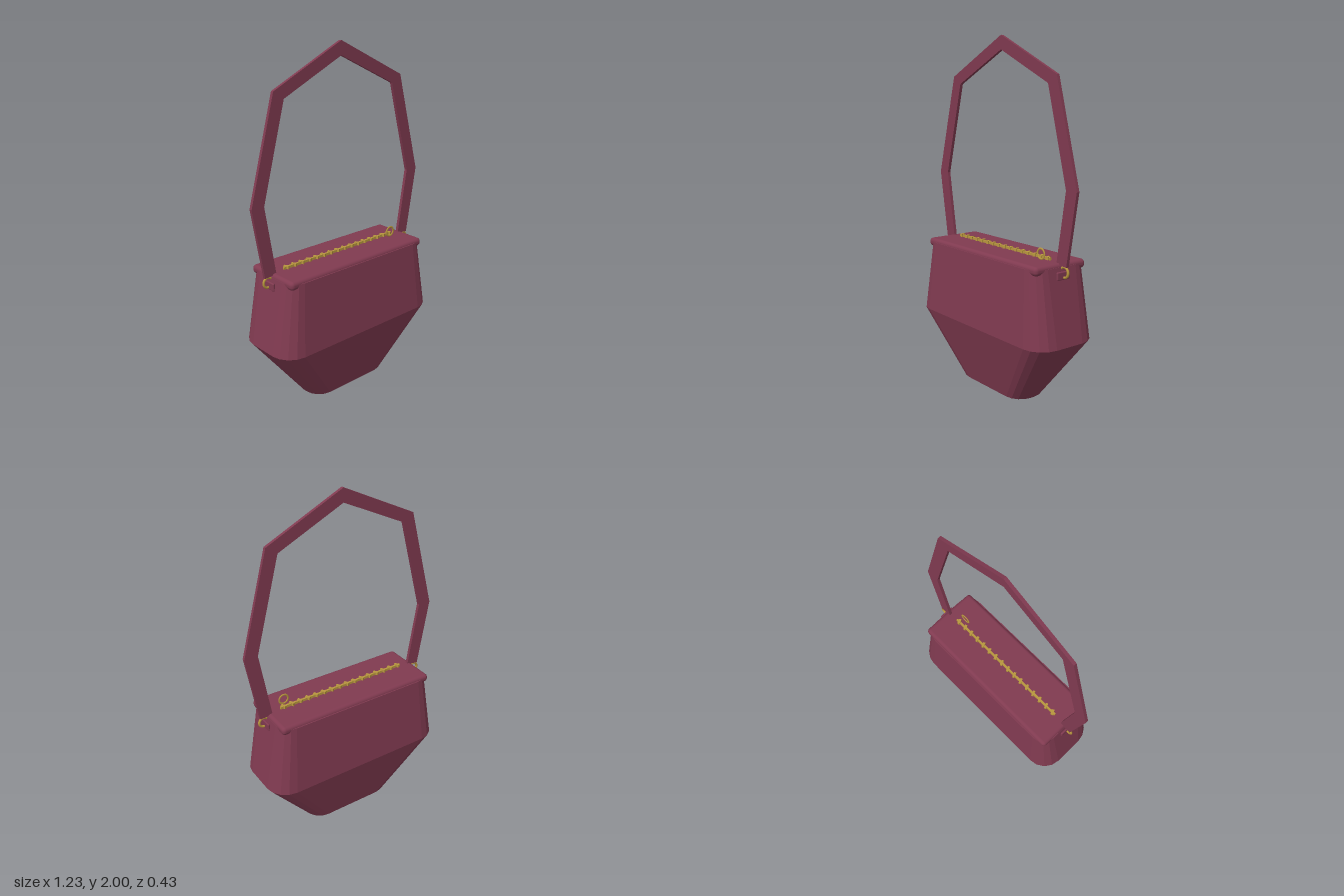
import * as THREE from 'three';
import { RoundedBoxGeometry } from 'three/addons/geometries/RoundedBoxGeometry.js';

// Corner points of a rounded rectangle at height y
function section(y, halfX, halfZ, r, steps = 4) {
  const pts = [];
  const corners = [[1, 1], [-1, 1], [-1, -1], [1, -1]];
  corners.forEach(([sx, sz], q) => {
    for (let i = 0; i <= steps; i++) {
      const a = (q + i / steps) * Math.PI / 2;
      pts.push([sx * (halfX - r) + r * Math.cos(a), y, sz * (halfZ - r) + r * Math.sin(a)]);
    }
  });
  return pts;
}

// Faceted skin through the sections, capped at both ends
function loft(sections) {
  const pos = [];
  const tri = (a, b, c) => pos.push(...a, ...b, ...c);
  const n = sections[0].length;
  for (let s = 0; s < sections.length - 1; s++) {
    const lo = sections[s], hi = sections[s + 1];
    for (let i = 0; i < n; i++) {
      const j = (i + 1) % n;
      tri(lo[i], hi[i], hi[j]);
      tri(lo[i], hi[j], lo[j]);
    }
  }
  const bottom = sections[0], top = sections[sections.length - 1];
  for (let i = 1; i < n - 1; i++) {
    tri(bottom[0], bottom[i], bottom[i + 1]);
    tri(top[0], top[i + 1], top[i]);
  }
  const geo = new THREE.BufferGeometry();
  geo.setAttribute('position', new THREE.Float32BufferAttribute(pos, 3));
  geo.computeVertexNormals();
  return geo;
}

export function createModel() {
  const leather = new THREE.MeshStandardMaterial({ color: 0x803a50 });
  leather.name = 'burgundy leather';
  const brass = new THREE.MeshStandardMaterial({ color: 0xb8963e });
  brass.name = 'brass';

  const bag = new THREE.Group();
  bag.name = 'handbag';
  const add = (name, geo, mat, x = 0, y = 0, z = 0, parent = bag) => {
    const mesh = new THREE.Mesh(geo, mat);
    mesh.name = name;
    mesh.position.set(x, y, z);
    parent.add(mesh);
    return mesh;
  };

  // Body: narrow base, wide waist, slightly narrower mouth
  add('body', loft([
    section(0, 0.28, 0.112, 0.1),
    section(0.38, 0.574, 0.215, 0.125),
    section(0.795, 0.503, 0.183, 0.085),
  ]), leather);

  // Lid, whose squarer corners overhang the body
  add('lid', new RoundedBoxGeometry(1.0, 0.05, 0.354, 3, 0.022), leather, 0, 0.79, 0);

  // Strap: angular band mirrored about the middle
  const outer = [[0.545, 0.8], [0.614, 1.2], [0.455, 1.782], [0, 2]];
  const inner = [[0, 1.922], [0.39, 1.738], [0.535, 1.2], [0.47, 0.808]];
  const flip = (list) => list.filter(([x]) => x > 0).map(([x, y]) => [-x, y]).reverse();
  const outline = [...outer, ...flip(outer), ...flip(inner), ...inner]
    .filter((p, i, all) => all.findIndex((q) => q[0] === p[0] && q[1] === p[1]) === i);
  const strap = new THREE.ExtrudeGeometry(
    new THREE.Shape(outline.map(([x, y]) => new THREE.Vector2(x, y))),
    { depth: 0.018, bevelEnabled: false });
  strap.translate(0, 0, -0.009);
  add('strap', strap, leather);

  // Strap rings and the leather tabs that hold them
  for (const side of [-1, 1]) {
    add('strapRing', new THREE.TorusGeometry(0.028, 0.007, 8, 24), brass, side * 0.523, 0.77, 0);
    add('ringTab', new RoundedBoxGeometry(0.014, 0.045, 0.09, 2, 0.006), leather, side * 0.514, 0.752, 0);
  }

  // Zip: thin core with slanted teeth
  const zip = new THREE.Group();
  zip.name = 'zip';
  bag.add(zip);
  add('zipCore', new THREE.BoxGeometry(0.83, 0.014, 0.012), brass, 0, 0.822, 0, zip);
  const tooth = new THREE.BoxGeometry(0.014, 0.017, 0.031);
  const count = 16;
  for (let i = 0; i < count; i++) {
    const t = add('zipTooth', tooth, brass, -0.395 + 0.79 * i / (count - 1), 0.824, 0, zip);
    t.rotation.y = 0.4;
  }

  // Zip pull: flat ring standing in front of the zip
  const pull = add('zipPull', new THREE.TorusGeometry(0.028, 0.006, 8, 24), brass, 0.375, 0.848, 0.033);
  pull.scale.z = 0.6;

  return bag;
}
